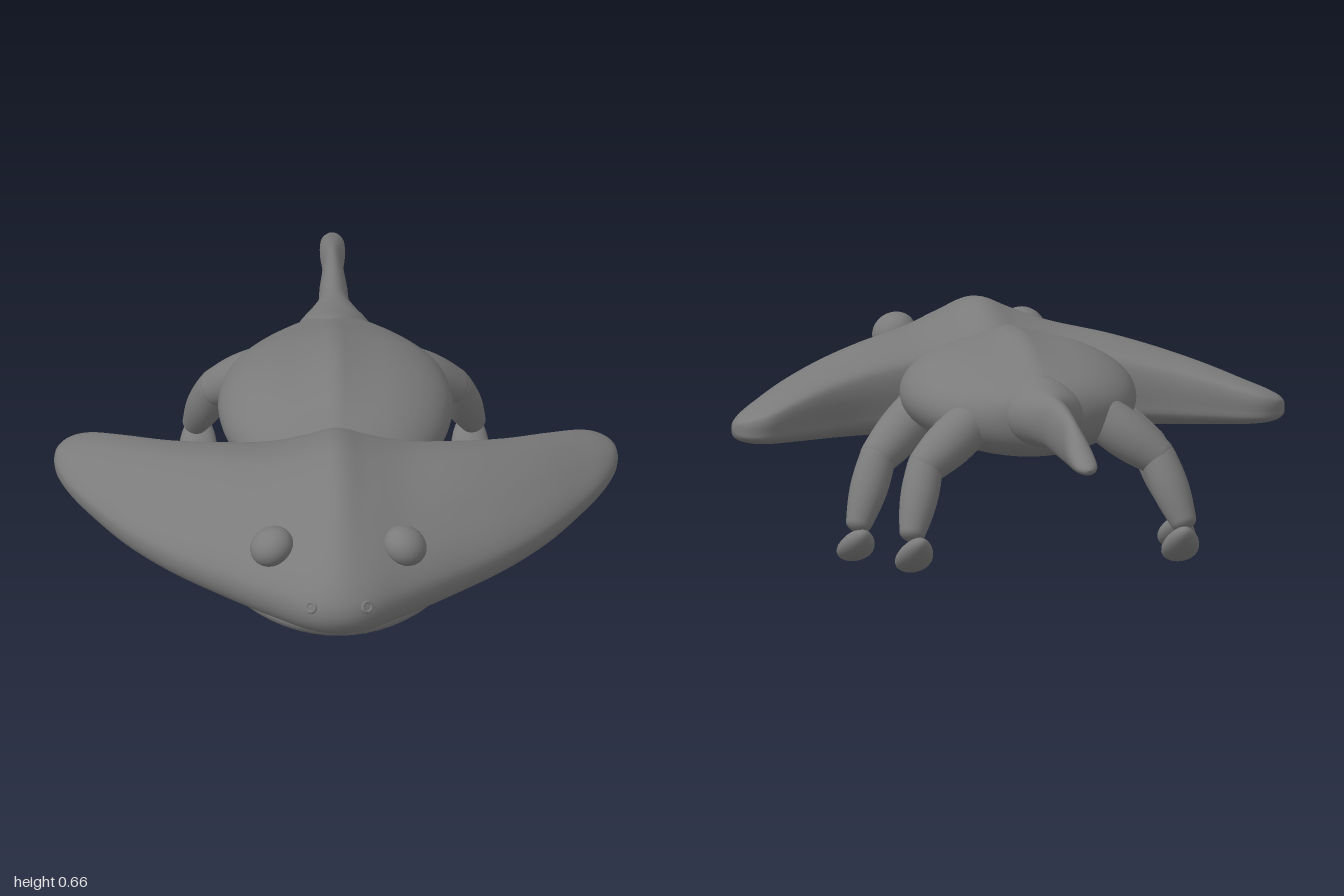
import * as THREE from 'three';

const V = (x, y, z) => new THREE.Vector3(x, y, z);
const material = new THREE.MeshStandardMaterial({ color: 0x7b7b7b });

function addMesh(parent, name, geometry) {
  const mesh = new THREE.Mesh(geometry, material);
  mesh.name = name;
  parent.add(mesh);
  return mesh;
}

// Smoothly resample a table of stations into n + 1 rows
function resample(rows, n) {
  const columns = rows[0].map((_, k) =>
    new THREE.SplineCurve(rows.map(r => new THREE.Vector2(r[k], 0))));
  return Array.from({ length: n + 1 }, (_, i) => columns.map(c => c.getPoint(i / n).x));
}

// Skin a series of closed rings
function loft(rings) {
  const m = rings[0].length;
  const index = [];
  for (let i = 0; i < rings.length - 1; i++) {
    for (let j = 0; j < m; j++) {
      const k = (j + 1) % m;
      const a = i * m + j, b = i * m + k, c = b + m, d = a + m;
      index.push(a, b, d, b, c, d);
    }
  }
  const geometry = new THREE.BufferGeometry().setFromPoints(rings.flat());
  geometry.setIndex(index);
  geometry.computeVertexNormals();
  return geometry;
}

// Oval sections along z: rows of [z, halfWidth, bottom, top, height of the ridge on top]
function ovalLoft(rows, n, sides) {
  return loft(resample(rows, n).map(([z, w, lo, hi, ridge]) =>
    Array.from({ length: sides }, (_, j) => {
      const a = (j / sides) * Math.PI * 2;
      const x = Math.max(w, 0) * Math.cos(a);
      const lift = Math.sin(a) > 0 ? ridge * Math.max(0, 1 - Math.abs(x) / 0.13) ** 2 : 0;
      return V(x, (lo + hi) / 2 + (hi - lo) / 2 * Math.sin(a) + lift, z);
    })));
}

// Boomerang skull: rows of [x, front z, back z, top, edge, bottom]
function skullGeometry() {
  const half = [
    [0.805, 0.115, 0.115, 0.39, 0.39, 0.39],
    [0.795, 0.17, 0.075, 0.418, 0.388, 0.362],
    [0.76, 0.26, 0.042, 0.44, 0.387, 0.345],
    [0.70, 0.37, 0.042, 0.463, 0.388, 0.333],
    [0.60, 0.52, 0.10, 0.498, 0.39, 0.318],
    [0.48, 0.65, 0.17, 0.533, 0.39, 0.305],
    [0.35, 0.76, 0.22, 0.565, 0.39, 0.295],
    [0.20, 0.885, 0.252, 0.593, 0.395, 0.29],
    [0.09, 0.97, 0.262, 0.63, 0.40, 0.29]
  ];
  const mirrored = half.map(r => [-r[0], ...r.slice(1)]).reverse();
  const rows = [...half, [0, 0.995, 0.265, 0.663, 0.40, 0.29], ...mirrored];
  // Section shared by all stations: [position front to back, height]
  const section = new THREE.CatmullRomCurve3([
    [0, 0], [0.035, 0.22], [0.13, 0.46], [0.27, 0.68], [0.42, 0.86], [0.56, 0.96],
    [0.69, 1], [0.83, 0.93], [0.96, 0.78], [1, 0.55], [1, 0.05], [0.97, -0.45],
    [0.8, -0.8], [0.5, -1], [0.2, -0.98], [0.06, -0.72]
  ].map(([u, h]) => V(u, h, 0)), true).getPoints(64).slice(0, -1);
  return loft(resample(rows, 90).map(([x, front, back, top, edge, bottom]) =>
    section.map(p => V(
      x,
      edge + p.y * (p.y > 0 ? top - edge : edge - bottom),
      front + (back - front) * p.x))));
}

// Rounded, swollen limb segment from a to b
function limbGeometry(a, b, ra, rb) {
  const length = a.distanceTo(b);
  const profile = [];
  for (let i = 0; i <= 6; i++) {
    const t = (i / 6) * Math.PI / 2;
    profile.push(new THREE.Vector2(ra * Math.sin(t), -ra * 0.7 * Math.cos(t)));
  }
  for (let i = 1; i < 8; i++) {
    const t = i / 8;
    profile.push(new THREE.Vector2(
      ra + (rb - ra) * t + 0.009 * Math.sin(Math.PI * t), length * t));
  }
  for (let i = 0; i <= 6; i++) {
    const t = (i / 6) * Math.PI / 2;
    profile.push(new THREE.Vector2(rb * Math.cos(t), length + rb * 0.7 * Math.sin(t)));
  }
  const geometry = new THREE.LatheGeometry(profile, 24);
  const turn = new THREE.Quaternion().setFromUnitVectors(V(0, 1, 0), b.clone().sub(a).normalize());
  return geometry.applyQuaternion(turn).translate(a.x, a.y, a.z);
}

// Flat paddle, wider at the toe
function footGeometry(heel, toe) {
  const geometry = new THREE.SphereGeometry(1, 24, 16);
  const p = geometry.attributes.position;
  const length = heel.distanceTo(toe);
  for (let i = 0; i < p.count; i++) {
    const z = p.getZ(i);
    p.setXYZ(i, p.getX(i) * 0.052 * (1 + 0.28 * z), p.getY(i) * 0.034, z * length / 2);
  }
  geometry.computeVertexNormals();
  const mid = heel.clone().add(toe).multiplyScalar(0.5);
  const aim = new THREE.Matrix4().lookAt(toe, heel, V(0, 1, 0));
  return geometry.applyMatrix4(aim).translate(mid.x, mid.y, mid.z);
}

function addLeg(parent, name, side, { hip, knee, ankle, heel, toe }) {
  const leg = new THREE.Group();
  leg.name = name;
  const at = ([x, y, z]) => V(side * x, y, z);
  addMesh(leg, 'upperLeg', limbGeometry(at(hip), at(knee), 0.066, 0.054));
  addMesh(leg, 'lowerLeg', limbGeometry(at(knee), at(ankle), 0.052, 0.038));
  addMesh(leg, 'foot', footGeometry(at(heel), at(toe)));
  parent.add(leg);
}

export function createModel() {
  const model = new THREE.Group();
  model.name = 'amphibian';

  // Head with lower jaw
  const head = new THREE.Group();
  head.name = 'head';
  model.add(head);
  addMesh(head, 'skull', skullGeometry());

  const jaw = new THREE.SphereGeometry(1, 40, 24);
  const p = jaw.attributes.position;
  for (let i = 0; i < p.count; i++) {
    const z = p.getZ(i);
    p.setXYZ(i,
      p.getX(i) * 0.33 * (1 - 0.2 * z),
      0.31 + p.getY(i) * 0.08 + 0.02 * Math.max(z, 0) ** 2,
      0.605 + z * 0.345);
  }
  jaw.computeVertexNormals();
  addMesh(head, 'lowerJaw', jaw);

  // Eyes and nostrils
  for (const side of [1, -1]) {
    const name = side > 0 ? 'left' : 'right';
    const eye = addMesh(head, name + 'Eye', new THREE.SphereGeometry(0.064, 28, 18));
    eye.scale.y = 0.85;
    eye.rotation.z = -side * 0.5;
    eye.position.set(side * 0.19, 0.515, 0.79);
    const nostril = addMesh(head, name + 'Nostril', new THREE.TorusGeometry(0.014, 0.006, 8, 16));
    nostril.position.set(side * 0.08, 0.42, 0.968);
    nostril.rotation.set(-0.5, side * 0.5, 0);
  }

  // Round trunk with a dorsal ridge
  addMesh(model, 'body', ovalLoft([
    [-0.42, 0, 0.49, 0.49, 0],
    [-0.40, 0.08, 0.42, 0.55, 0],
    [-0.36, 0.16, 0.38, 0.575, 0.005],
    [-0.28, 0.25, 0.355, 0.598, 0.012],
    [-0.17, 0.31, 0.34, 0.627, 0.02],
    [-0.03, 0.335, 0.33, 0.645, 0.025],
    [0.10, 0.32, 0.33, 0.642, 0.023],
    [0.20, 0.28, 0.335, 0.62, 0.018],
    [0.28, 0.22, 0.35, 0.58, 0.008],
    [0.36, 0.12, 0.38, 0.53, 0],
    [0.40, 0, 0.46, 0.46, 0]
  ], 60, 72));

  // Tall narrow tail
  addMesh(model, 'tail', ovalLoft([
    [-1.0, 0, 0.455, 0.455, 0],
    [-0.99, 0.018, 0.441, 0.466, 0],
    [-0.95, 0.033, 0.434, 0.482, 0],
    [-0.86, 0.036, 0.425, 0.52, 0],
    [-0.75, 0.03, 0.42, 0.555, 0],
    [-0.62, 0.04, 0.42, 0.57, 0],
    [-0.52, 0.048, 0.42, 0.572, 0],
    [-0.45, 0.08, 0.415, 0.576, 0],
    [-0.39, 0.11, 0.405, 0.585, 0],
    [-0.33, 0.09, 0.41, 0.598, 0],
    [-0.26, 0, 0.5, 0.6, 0]
  ], 60, 28));

  // Legs
  const front = {
    hip: [0.22, 0.43, 0.2], knee: [0.397, 0.305, 0.04], ankle: [0.465, 0.13, -0.025],
    heel: [0.46, 0.11, -0.07], toe: [0.472, 0.015, 0.06]
  };
  const hind = {
    hip: [0.19, 0.46, -0.27], knee: [0.34, 0.35, -0.34], ankle: [0.395, 0.18, -0.43],
    heel: [0.385, 0.17, -0.51], toe: [0.39, 0.06, -0.36]
  };
  for (const side of [1, -1]) {
    const name = side > 0 ? 'left' : 'right';
    addLeg(model, name + 'FrontLeg', side, front);
    addLeg(model, name + 'HindLeg', side, hind);
  }
  return model;
}
